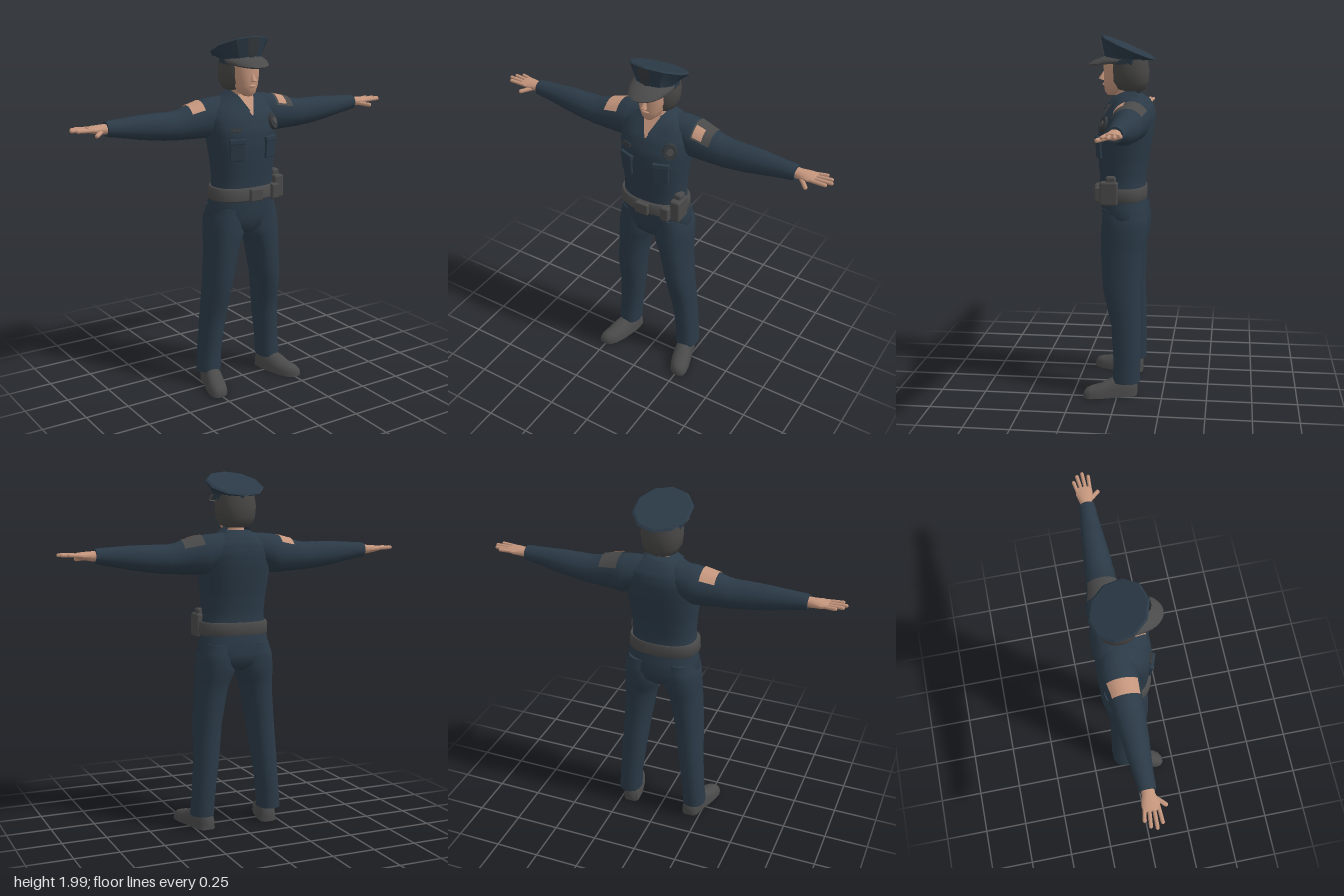
import * as THREE from 'three';
import { toCreasedNormals } from 'three/addons/utils/BufferGeometryUtils.js';
import { RoundedBoxGeometry } from 'three/addons/geometries/RoundedBoxGeometry.js';

const paint = (name, color, side = THREE.FrontSide) =>
  Object.assign(new THREE.MeshStandardMaterial({ color, side }), { name });

// Skin a list of point rings; closed rings get end caps.
function skinRings(rings, closed = true, crease = 0.8) {
  const n = rings[0].length, pos = rings.flat(2), idx = [];
  for (let i = 0; i < rings.length - 1; i++) {
    for (let j = 0; j < (closed ? n : n - 1); j++) {
      const k = (j + 1) % n, a = i * n + j, b = i * n + k;
      idx.push(a, b, a + n, b, b + n, a + n);
    }
  }
  if (closed) {
    [0, rings.length - 1].forEach((r, end) => {
      const c = pos.length / 3;
      for (let d = 0; d < 3; d++) pos.push(rings[r].reduce((s, p) => s + p[d], 0) / n);
      for (let j = 0; j < n; j++) {
        const a = r * n + j, b = r * n + (j + 1) % n;
        end ? idx.push(a, b, c) : idx.push(b, a, c);
      }
    });
  }
  const g = new THREE.BufferGeometry();
  g.setAttribute('position', new THREE.Float32BufferAttribute(pos, 3));
  g.setIndex(idx);
  g.computeVertexNormals();
  return toCreasedNormals(g, crease);
}

// Interpolate a section row at position t (first entry of each row).
function rowAt(rows, t) {
  let i = 0;
  const up = rows[1][0] > rows[0][0];
  while (i < rows.length - 2 && (up ? rows[i + 1][0] < t : rows[i + 1][0] > t)) i++;
  const f = (t - rows[i][0]) / (rows[i + 1][0] - rows[i][0]);
  return rows[i].map((v, d) => v + (rows[i + 1][d] - v) * f);
}

// Double the rows with a gentle cloth ripple.
function ripple(rows, amount, steps = 3) {
  const out = [];
  rows.forEach((r, i) => {
    out.push(r);
    if (i === rows.length - 1) return;
    for (let s = 1; s < steps; s++) {
      const q = rowAt(rows, r[0] + (rows[i + 1][0] - r[0]) * s / steps);
      const k = 1 + amount * Math.sin(i * 2.3 + s * 2.1);
      out.push([q[0], q[1], q[2], q[3] * k, q[4] * k]);
    }
  });
  return out;
}

const bend = (v, e) => Math.sign(v) * Math.abs(v) ** e;
// Rows run upward: [y, cx, cz, rx, rz]
const loftY = (rows, n = 24, e = 1, crease) => skinRings(rows.map(([y, cx, cz, rx, rz]) =>
  Array.from({ length: n }, (_, j) => {
    const a = j / n * Math.PI * 2;
    return [cx + rx * bend(Math.cos(a), e), y, cz - rz * bend(Math.sin(a), e)];
  })), true, crease);
// Rows run outward: [x, cy, cz, ry, rz]
const armPoint = ([x, cy, cz, ry, rz], a, off = 0) => [x, cy + (ry + off) * Math.cos(a), cz + (rz + off) * Math.sin(a)];
const loftX = (rows, n = 18) => skinRings(rows.map(r =>
  Array.from({ length: n }, (_, j) => armPoint(r, j / n * Math.PI * 2))));

function mirrored(geometry) {
  const g = geometry.index ? geometry.toNonIndexed() : geometry.clone();
  g.scale(-1, 1, 1);
  for (const key of Object.keys(g.attributes)) {
    const at = g.attributes[key], s = at.itemSize;
    for (let i = 0; i < at.count; i += 3) {
      for (let d = 0; d < s; d++) {
        const p = (i + 1) * s + d, q = (i + 2) * s + d, t = at.array[p];
        at.array[p] = at.array[q];
        at.array[q] = t;
      }
    }
  }
  return g;
}

const TORSO = [[1.12, 0, -0.012, 0.188, 0.128], [1.2, 0, -0.008, 0.178, 0.126], [1.3, 0, -0.01, 0.183, 0.136],
  [1.4, 0, -0.017, 0.195, 0.149], [1.48, 0, -0.028, 0.205, 0.153], [1.55, 0, -0.045, 0.205, 0.14],
  [1.6, 0, -0.058, 0.185, 0.118], [1.64, 0, -0.058, 0.13, 0.093], [1.67, 0, -0.05, 0.075, 0.07]];
const ARM = [[0.06, 1.58, -0.07, 0.08, 0.08], [0.15, 1.558, -0.077, 0.097, 0.095], [0.2, 1.542, -0.075, 0.108, 0.1],
  [0.3, 1.531, -0.066, 0.093, 0.086], [0.4, 1.521, -0.062, 0.08, 0.08], [0.5, 1.526, -0.06, 0.073, 0.071],
  [0.6, 1.533, -0.06, 0.066, 0.063], [0.7, 1.54, -0.058, 0.053, 0.052], [0.8, 1.546, -0.055, 0.04, 0.043]];
const LEG = [[0.08, 0.205, -0.048, 0.065, 0.076], [0.2, 0.197, -0.052, 0.064, 0.077], [0.4, 0.177, -0.044, 0.07, 0.083],
  [0.6, 0.16, -0.018, 0.076, 0.104], [0.8, 0.135, -0.016, 0.09, 0.117], [0.9, 0.114, -0.025, 0.108, 0.127],
  [0.98, 0.112, -0.03, 0.104, 0.128], [1.05, 0.105, -0.025, 0.09, 0.12]];

function chestZ(x, y) {
  const [, , cz, rx, rz] = rowAt(TORSO, y), k = 2 / 0.85;
  return cz + rz * (1 - Math.min(1, Math.abs(x / rx)) ** k) ** (1 / k);
}

export function createModel() {
  const model = new THREE.Group();
  model.name = 'officer';
  const navy = paint('navy cloth', 0x2b3a47), navyThin = paint('navy trim', 0x2b3a47, THREE.DoubleSide);
  const grey = paint('dark grey leather', 0x4a4a4a, THREE.DoubleSide), hairMat = paint('hair grey', 0x484746);
  const skin = paint('skin', 0xc4957c, THREE.DoubleSide), badgeMat = paint('badge grey', 0x35393c, THREE.DoubleSide);

  const add = (name, geometry, material, x = 0, y = 0, z = 0) => {
    const m = new THREE.Mesh(geometry, material);
    m.name = name;
    m.position.set(x, y, z);
    model.add(m);
    return m;
  };
  const pair = (name, geometry, material) => {
    add('left' + name, geometry, material);
    add('right' + name, mirrored(geometry), material);
  };

  // Shirt, hips, sleeves and trousers
  add('shirt', loftY(ripple(TORSO, 0.006), 28, 0.85), navy);
  add('hips', loftY([[0.9, 0, -0.025, 0.07, 0.09], [0.93, 0, -0.027, 0.18, 0.12], [0.99, 0, -0.03, 0.212, 0.133],
    [1.06, 0, -0.018, 0.2, 0.13], [1.13, 0, -0.012, 0.188, 0.126]], 28, 0.88), navy);
  pair('Sleeve', loftX(ripple(ARM, 0.02)), navy);
  pair('TrouserLeg', loftY(ripple(LEG, 0.012), 20, 0.9), navy);

  // Shoes: domed sections with a flat sole
  const shoe = [[-0.108, 0.19, 0.028, 0.07], [-0.09, 0.19, 0.046, 0.1], [-0.02, 0.2, 0.053, 0.112], [0.03, 0.215, 0.058, 0.1],
    [0.09, 0.232, 0.06, 0.07], [0.14, 0.247, 0.054, 0.06], [0.168, 0.255, 0.042, 0.05], [0.184, 0.258, 0.02, 0.03]];
  pair('Shoe', skinRings(shoe.map(([z, cx, rx, h]) => Array.from({ length: 18 }, (_, j) => {
    const a = j / 18 * Math.PI * 2;
    return [cx + rx * bend(Math.cos(a), 0.8), Math.max(0, h * bend(Math.sin(a), 0.8)), z];
  }))), grey);

  // Hands
  pair('Palm', loftX([[0.77, 1.546, -0.055, 0.03, 0.033], [0.82, 1.547, -0.055, 0.026, 0.034],
    [0.87, 1.55, -0.055, 0.02, 0.047], [0.905, 1.552, -0.055, 0.013, 0.043]], 14), skin);
  const finger = (a, b, r) => {
    const p = new THREE.Vector3(...a), d = new THREE.Vector3(...b).sub(p), len = d.length();
    const g = new THREE.CapsuleGeometry(r, len, 3, 8);
    g.translate(0, len / 2, 0);
    g.applyQuaternion(new THREE.Quaternion().setFromUnitVectors(new THREE.Vector3(0, 1, 0), d.normalize()));
    return g.translate(p.x, p.y, p.z);
  };
  [[0.945, -0.1], [0.978, -0.076], [0.99, -0.046], [0.968, -0.016]].forEach(([x, z], i) =>
    pair('Finger' + (i + 1), finger([0.885, 1.552, -0.089 + i * 0.023], [x, 1.556, z], 0.01), skin));
  pair('Thumb', finger([0.83, 1.54, -0.035], [0.88, 1.53, 0.018], 0.012), skin);

  // Neck, head and hair
  add('neck', loftY([[1.58, 0, -0.03, 0.065, 0.06], [1.66, 0, -0.025, 0.057, 0.058], [1.76, 0, -0.02, 0.055, 0.06]]), skin);
  add('head', loftY([[1.665, 0, 0.05, 0.022, 0.028], [1.685, 0, 0.035, 0.045, 0.058], [1.72, 0, 0.018, 0.064, 0.08],
    [1.77, 0, 0.01, 0.076, 0.088], [1.83, 0, 0.003, 0.08, 0.097], [1.88, 0, 0, 0.075, 0.09]], 24, 0.9), skin);
  const nose = add('nose', new THREE.ConeGeometry(0.018, 0.055, 6), skin, 0, 1.775, 0.103);
  nose.rotation.x = -0.3;
  add('lips', new THREE.SphereGeometry(0.02, 12, 8).scale(1.1, 0.4, 0.5), skin, 0, 1.722, 0.096);
  add('hair', loftY([[1.685, 0, -0.06, 0.055, 0.05], [1.7, 0, -0.052, 0.086, 0.08], [1.74, 0, -0.047, 0.106, 0.102],
    [1.8, 0, -0.045, 0.112, 0.107], [1.87, 0, -0.04, 0.104, 0.102]], 24, 0.88), hairMat);

  // Peaked cap: tilted crown over a band
  const capRing = (rx, rz, cz, y, slope, n = 10) => Array.from({ length: n }, (_, j) => {
    const a = (j + 0.5) / n * Math.PI * 2, z = -rz * Math.sin(a);
    return [rx * Math.cos(a), y + slope * z, cz + z];
  });
  add('cap', skinRings([capRing(0.112, 0.118, -0.028, 1.835, 0.03), capRing(0.116, 0.122, -0.026, 1.868, 0.12),
    capRing(0.162, 0.152, -0.038, 1.92, 0.43), capRing(0.15, 0.142, -0.038, 1.928, 0.43)], true, 0.3), navy);
  const visorArc = (rx, rz, cz, y, drop) => Array.from({ length: 17 }, (_, j) => {
    const a = Math.PI * j / 16;
    return [rx * Math.cos(a), y - drop * Math.sin(a), cz + rz * Math.sin(a)];
  });
  add('visor', skinRings([visorArc(0.11, 0.1, -0.01, 1.862, -0.014), visorArc(0.116, 0.15, 0.005, 1.856, 0.004),
    visorArc(0.115, 0.178, 0.007, 1.85, 0.02), visorArc(0.113, 0.172, 0.007, 1.844, 0.021)], false), grey);
  add('capBadge', skinRings([[[-0.025, 1.885, 0.1], [0.025, 1.885, 0.1]],
    [[-0.036, 1.95, 0.112], [0.036, 1.95, 0.112]], [[-0.03, 1.984, 0.115], [0.03, 1.984, 0.115]]], false), badgeMat);

  // Open neckline and collar wings
  add('neckOpening', skinRings([[[-0.004, 1.565, 0.102], [0.004, 1.565, 0.102]],
    [[-0.026, 1.615, 0.068], [0.026, 1.615, 0.068]], [[-0.05, 1.672, 0.028], [0.05, 1.672, 0.028]]], false), skin);
  pair('Collar', skinRings([[[0.05, 1.69, -0.085], [0.092, 1.655, -0.1]], [[0.06, 1.69, -0.025], [0.104, 1.652, -0.01]],
    [[0.045, 1.66, 0.04], [0.09, 1.625, 0.055]], [[0.012, 1.59, 0.096], [0.062, 1.572, 0.104]]], false), navyThin);

  // Chest details laid on the shirt surface
  const onChest = (name, geometry, material, x, y, lift = 0) => {
    const h = 0.01, z = chestZ(x, y);
    const normal = new THREE.Vector3(-(chestZ(x + h, y) - chestZ(x - h, y)) / (2 * h),
      -(chestZ(x, y + h) - chestZ(x, y - h)) / (2 * h), 1).normalize();
    const m = add(name, geometry, material, x, y, z);
    m.quaternion.setFromUnitVectors(new THREE.Vector3(0, 0, 1), normal);
    m.position.addScaledVector(normal, lift);
  };
  for (const s of [-1, 1]) {
    const side = s > 0 ? 'left' : 'right';
    onChest(side + 'Pocket', new RoundedBoxGeometry(0.085, 0.1, 0.018, 2, 0.006), navy, s * 0.105, 1.375);
    onChest(side + 'PocketFlap', new RoundedBoxGeometry(0.092, 0.03, 0.028, 2, 0.006), navy, s * 0.105, 1.43);
  }
  onChest('badge', new THREE.CylinderGeometry(0.036, 0.04, 0.016, 14).rotateX(Math.PI / 2).scale(1, 1.2, 1), badgeMat, 0.14, 1.515, 0.006);
  onChest('badgeCentre', new THREE.CylinderGeometry(0.018, 0.02, 0.008, 10).rotateX(Math.PI / 2), grey, 0.14, 1.515, 0.016);
  onChest('nameBar', new THREE.BoxGeometry(0.06, 0.02, 0.009), badgeMat, -0.11, 1.492, 0.004);

  // Shoulder patches follow the sleeve
  const patch = (x0, x1, a0, a1, off) => skinRings([0, 0.25, 0.5, 0.75, 1].map(t =>
    Array.from({ length: 9 }, (_, j) => armPoint(rowAt(ARM, x0 + (x1 - x0) * t), a0 + (a1 - a0) * j / 8, off))), false);
  add('rightShoulderPatch', mirrored(patch(0.24, 0.32, -0.9, 0.95, 0.006)), skin);
  add('leftShoulderPatch', patch(0.22, 0.33, -1, 1.1, 0.006), grey);
  add('leftPatchEmblem', patch(0.23, 0.285, 0.3, 1, 0.01), skin);

  // Belt with buckle, holster and pouch
  add('belt', loftY([[1.093, 0, -0.008, 0.196, 0.132], [1.1, 0, -0.006, 0.202, 0.138], [1.16, 0, -0.006, 0.199, 0.137],
    [1.168, 0, -0.008, 0.193, 0.131]], 28, 0.85), grey);
  add('buckle', new RoundedBoxGeometry(0.08, 0.07, 0.03, 2, 0.008), grey, 0, 1.13, 0.136);
  add('holster', new RoundedBoxGeometry(0.06, 0.13, 0.1, 2, 0.012), grey, 0.18, 1.145, 0.05);
  add('holsterGrip', new RoundedBoxGeometry(0.045, 0.07, 0.055, 2, 0.012), grey, 0.178, 1.205, 0.04);
  add('pouch', new RoundedBoxGeometry(0.05, 0.085, 0.04, 2, 0.01), grey, 0.135, 1.13, 0.115);
  return model;
}
